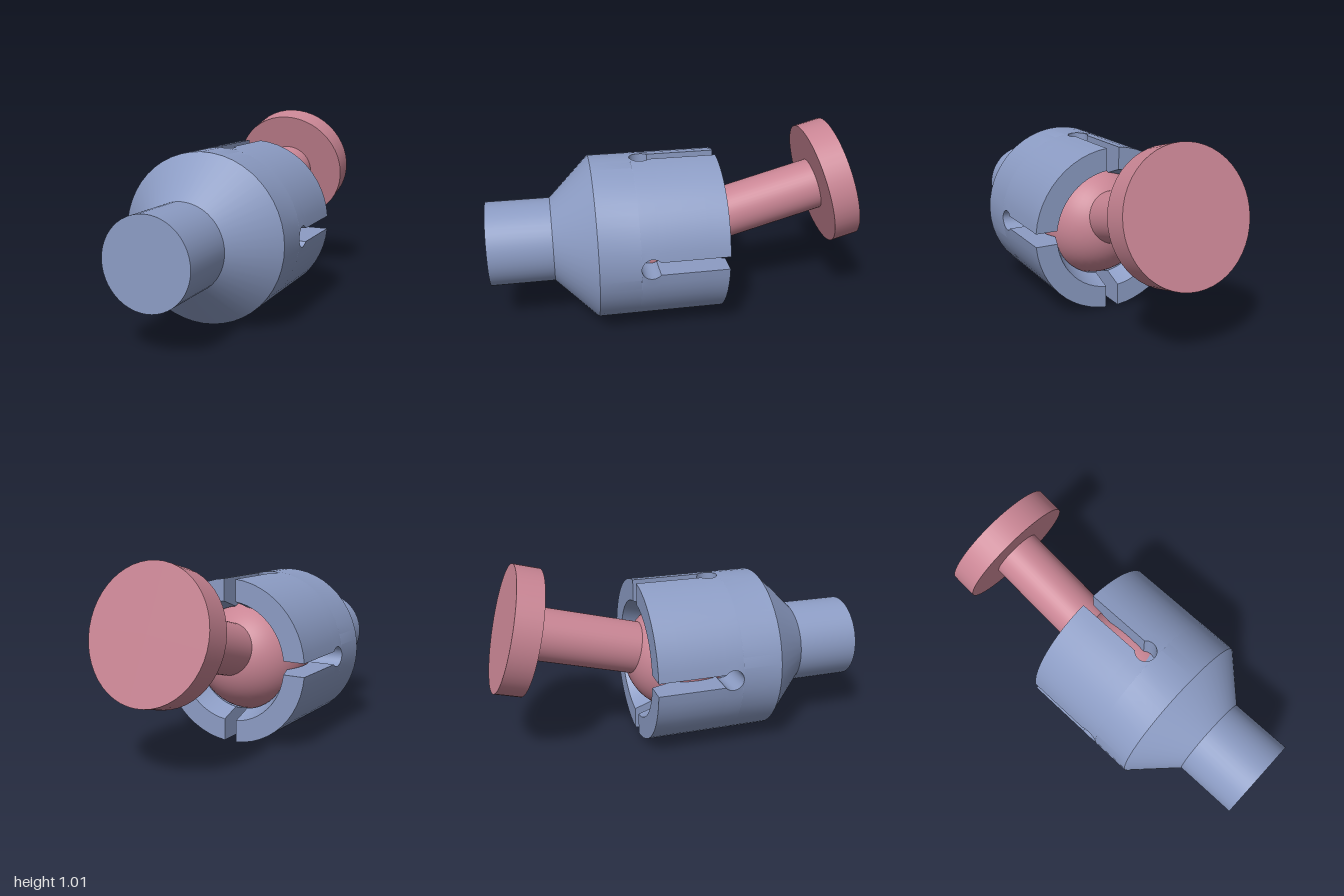
import * as THREE from 'three';
import { mergeGeometries, toCreasedNormals } from 'three/addons/utils/BufferGeometryUtils.js';

const AXIS_Y = 0.4375, R = 0.437, STEM_R = 0.224;
const BACK = -0.215, SHOULDER = 0.45, NECK = 0.665, FRONT = 1;
const BALL_Z = 0.03, BALL_R = 0.302, CAVITY_R = 0.308;
const THROAT = -0.1, MOUTH_R = 0.32;
const SLOT_H = 0.035, HOLE_R = 0.055, HOLE_Z = 0.185;
const HOLE_START = HOLE_Z - Math.sqrt(HOLE_R ** 2 - SLOT_H ** 2);
const HOLE_END = HOLE_Z + HOLE_R;

// half width of the keyhole slot at depth z
function slotHalf(z) {
  if (z <= HOLE_START) return SLOT_H;
  return Math.sqrt(Math.max(0, HOLE_R ** 2 - (z - HOLE_Z) ** 2));
}

// flared mouth, then a spherical cavity
const sphereR = (z) => Math.sqrt(Math.max(1e-8, CAVITY_R ** 2 - (z - BALL_Z) ** 2));
function innerR(z) {
  if (z >= THROAT) return sphereR(z);
  return THREE.MathUtils.mapLinear(z, BACK, THROAT, MOUTH_R, sphereR(THROAT));
}

// grid surface whose normal is dU x dV
function grid(us, vs, fn) {
  const pos = [];
  for (let i = 0; i < us.length - 1; i++) for (let j = 0; j < vs.length - 1; j++) {
    const a = fn(us[i], vs[j]), b = fn(us[i + 1], vs[j]);
    const c = fn(us[i + 1], vs[j + 1]), d = fn(us[i], vs[j + 1]);
    pos.push(...a, ...b, ...c, ...a, ...c, ...d);
  }
  const g = new THREE.BufferGeometry();
  g.setAttribute('position', new THREE.Float32BufferAttribute(pos, 3));
  return g;
}

const steps = (a, b, n) => Array.from({ length: n + 1 }, (_, i) => a + (b - a) * i / n);

// one quarter of the slotted socket wall
function socketQuarter() {
  const a1 = Math.acos((HOLE_START - HOLE_Z) / HOLE_R);
  const holeZ = steps(a1, 0, 12).map((a) => HOLE_Z + HOLE_R * Math.cos(a));
  const slotZ = [BACK, ...steps(THROAT, HOLE_START, 8).slice(0, -1), ...holeZ];
  const capZ = steps(Math.acos((HOLE_END - BALL_Z) / CAVITY_R), 0, 6)
    .map((a) => BALL_Z + CAVITY_R * Math.cos(a)).slice(1);
  const turn = steps(0, 1, 12), across = [0, 1];

  const onRing = (t, r, z) => {
    const a0 = Math.asin(Math.min(1, slotHalf(z) / r));
    const a = a0 + t * (Math.PI / 2 - 2 * a0);
    return [r * Math.cos(a), r * Math.sin(a), z];
  };
  const along = (t, z) => {
    const r = innerR(z) + t * (R - innerR(z));
    return Math.sqrt(r * r - slotHalf(z) ** 2);
  };
  return mergeGeometries([
    grid(turn, [...slotZ, SHOULDER], (t, z) => onRing(t, R, z)),
    grid([...slotZ, ...capZ], turn, (z, t) => onRing(t, innerR(z), z)),
    grid(turn, across, (t, s) => onRing(t, MOUTH_R + s * (R - MOUTH_R), BACK)),
    grid(across, slotZ, (t, z) => [along(t, z), slotHalf(z), z]),
    grid(slotZ, across, (z, t) => [slotHalf(z), along(t, z), z]),
  ]);
}

export function createModel() {
  const model = new THREE.Group();
  model.name = 'ballJoint';
  const blue = new THREE.MeshStandardMaterial({ color: 0x8c9cc4 });
  const pink = new THREE.MeshStandardMaterial({ color: 0xc98594 });
  const add = (parent, name, geo, mat) => {
    const mesh = new THREE.Mesh(geo, mat);
    mesh.name = name;
    parent.add(mesh);
    return mesh;
  };

  // socket: four quarters, slot floors, cone and stem
  const socket = new THREE.Group();
  socket.name = 'socket';
  socket.position.y = AXIS_Y;
  model.add(socket);

  const quarters = [], floors = [];
  for (let i = 0; i < 4; i++) {
    quarters.push(socketQuarter().rotateZ(i * Math.PI / 2));
    floors.push(new THREE.CircleGeometry(HOLE_R, 24).rotateY(Math.PI / 2)
      .translate(0.26, 0, HOLE_Z).rotateZ(i * Math.PI / 2));
  }
  // enlarged while creasing so that close vertices stay distinct
  const wall = mergeGeometries(quarters).scale(100, 100, 100);
  add(socket, 'socketWall', toCreasedNormals(wall, 0.45).scale(0.01, 0.01, 0.01), blue);
  add(socket, 'slotHoleFloors', mergeGeometries(floors), blue);

  const cone = new THREE.CylinderGeometry(STEM_R, R, NECK - SHOULDER, 48, 1, true);
  cone.rotateX(Math.PI / 2).translate(0, 0, (NECK + SHOULDER) / 2);
  add(socket, 'socketCone', cone, blue);
  const stem = new THREE.CylinderGeometry(STEM_R, STEM_R, FRONT - NECK, 48);
  stem.rotateX(Math.PI / 2).translate(0, 0, (FRONT + NECK) / 2);
  add(socket, 'socketStem', stem, blue);

  // ball stud, tilted upward by 15 degrees
  const stud = new THREE.Group();
  stud.name = 'ballStud';
  stud.position.set(0, AXIS_Y, BALL_Z);
  stud.rotation.x = THREE.MathUtils.degToRad(-75);
  model.add(stud);
  add(stud, 'ball', new THREE.SphereGeometry(BALL_R, 48, 32), pink);
  add(stud, 'studNeck', new THREE.CylinderGeometry(0.14, 0.14, 0.64, 48).translate(0, 0.52, 0), pink);
  add(stud, 'studDisc', new THREE.CylinderGeometry(0.334, 0.334, 0.14, 48).translate(0, 0.905, 0), pink);

  return model;
}
